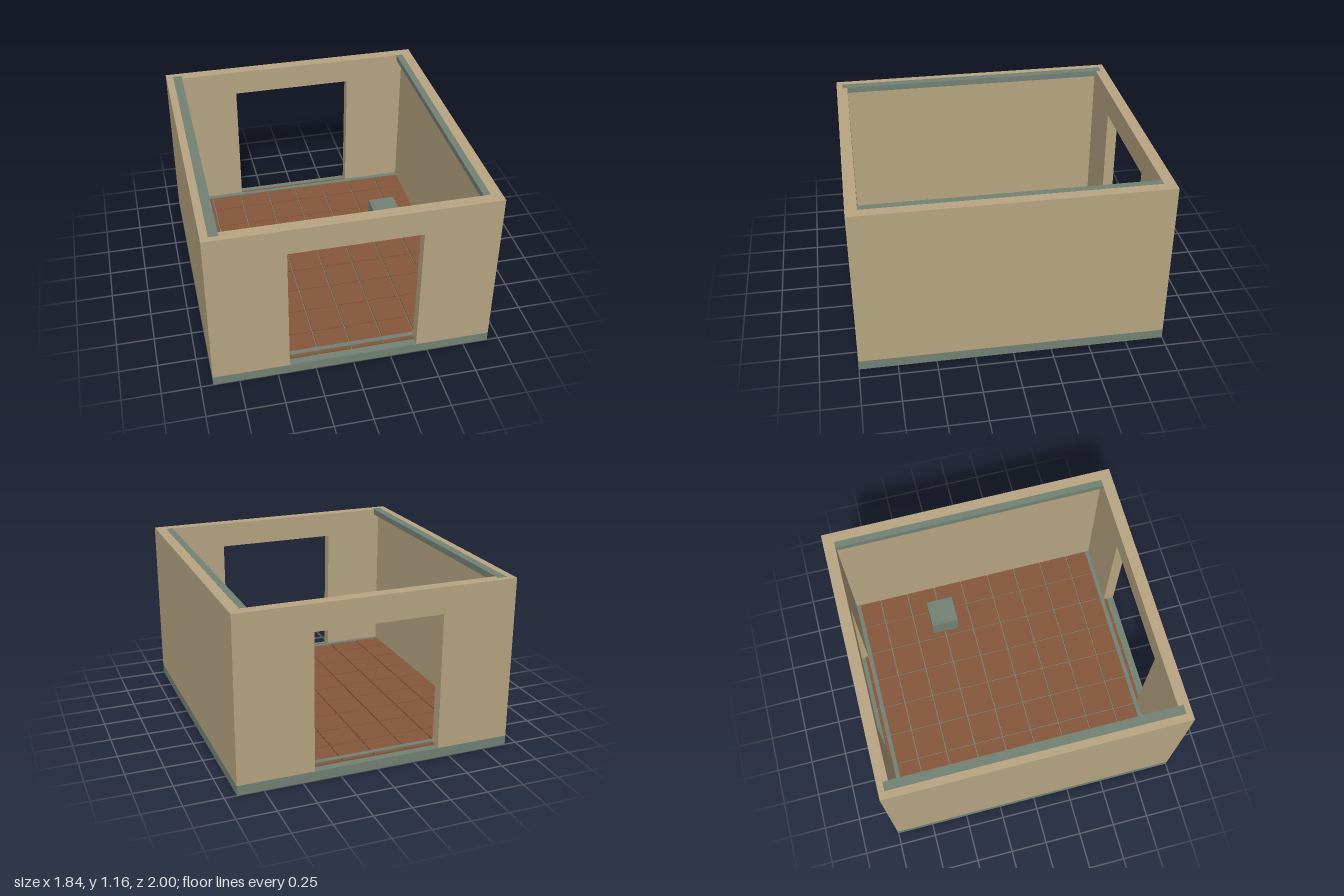
import * as THREE from 'three';

const mat = (name, color) => {
  const m = new THREE.MeshStandardMaterial({ color });
  m.name = name;
  return m;
};

export function createModel() {
  const room = new THREE.Group();
  room.name = 'room';
  const tan = mat('tanWall', 0xb8a582);
  const clay = mat('clayTile', 0x87573b);
  const sage = mat('sageTrim', 0x738274);

  // Box given by its minimum and maximum corners
  const block = (name, material, [x0, y0, z0], [x1, y1, z1], parent = room) => {
    const mesh = new THREE.Mesh(new THREE.BoxGeometry(x1 - x0, y1 - y0, z1 - z0), material);
    mesh.position.set((x0 + x1) / 2, (y0 + y1) / 2, (z0 + z1) / 2);
    mesh.name = name;
    parent.add(mesh);
    return mesh;
  };

  const W = 0.92, D = 1, H = 1.155, T = 0.075; // half width, half depth, height, wall thickness
  const floorY = 0.065, tileY = 0.075, doorX = 0.422, doorY = 0.98;

  // Foundation
  block('foundationSlab', sage, [-W, 0, -D], [W, floorY, D]);

  // Side walls
  block('leftWall', tan, [W - T, floorY, -D], [W, H, D]);
  block('rightWall', tan, [-W, floorY, -D], [-W + T, H, D]);

  // Front and back walls, each with a wide doorway
  for (const [side, z] of [['front', D - T], ['back', -D]]) {
    block(side + 'LeftPanel', tan, [doorX, floorY, z], [W - T, H, z + T]);
    block(side + 'RightPanel', tan, [-W + T, floorY, z], [-doorX, H, z + T]);
    block(side + 'Header', tan, [-doorX, doorY, z], [doorX, H, z + T]);
  }

  // Separate floor tiles running into the doorways
  const tiles = new THREE.Group();
  tiles.name = 'floorTiles';
  room.add(tiles);
  const px = 0.219, pz = 0.2115, gap = 0.008;
  for (let i = 0; i < 8; i++) {
    for (let j = 0; j < 9; j++) {
      const x = (i - 3.5) * px, z = (j - 4) * pz;
      const hx = (px - gap) / 2, hz = (pz - gap) / 2;
      block('floorTile', clay, [x - hx, floorY, z - hz], [x + hx, tileY, z + hz], tiles);
    }
  }

  // Thin threshold strips along the front and back walls
  for (const z of [-0.925, 0.895]) {
    block('thresholdStrip', sage, [-W + T, tileY, z], [W - T, tileY + 0.006, z + 0.03]);
  }

  // Rails along the tops of the side walls
  block('rightTopRail', sage, [-0.87, H - 0.04, -0.96], [-0.81, H + 0.001, 0.96]);
  block('leftTopRail', sage, [0.805, H - 0.04, -0.925], [0.85, H + 0.001, 0.925]);

  // Small crate with a slightly raised lid
  block('crate', sage, [0.477, floorY, -0.405], [0.67, 0.228, -0.212]);
  block('crateLid', sage, [0.49, 0.228, -0.392], [0.657, 0.233, -0.225]);

  return room;
}
